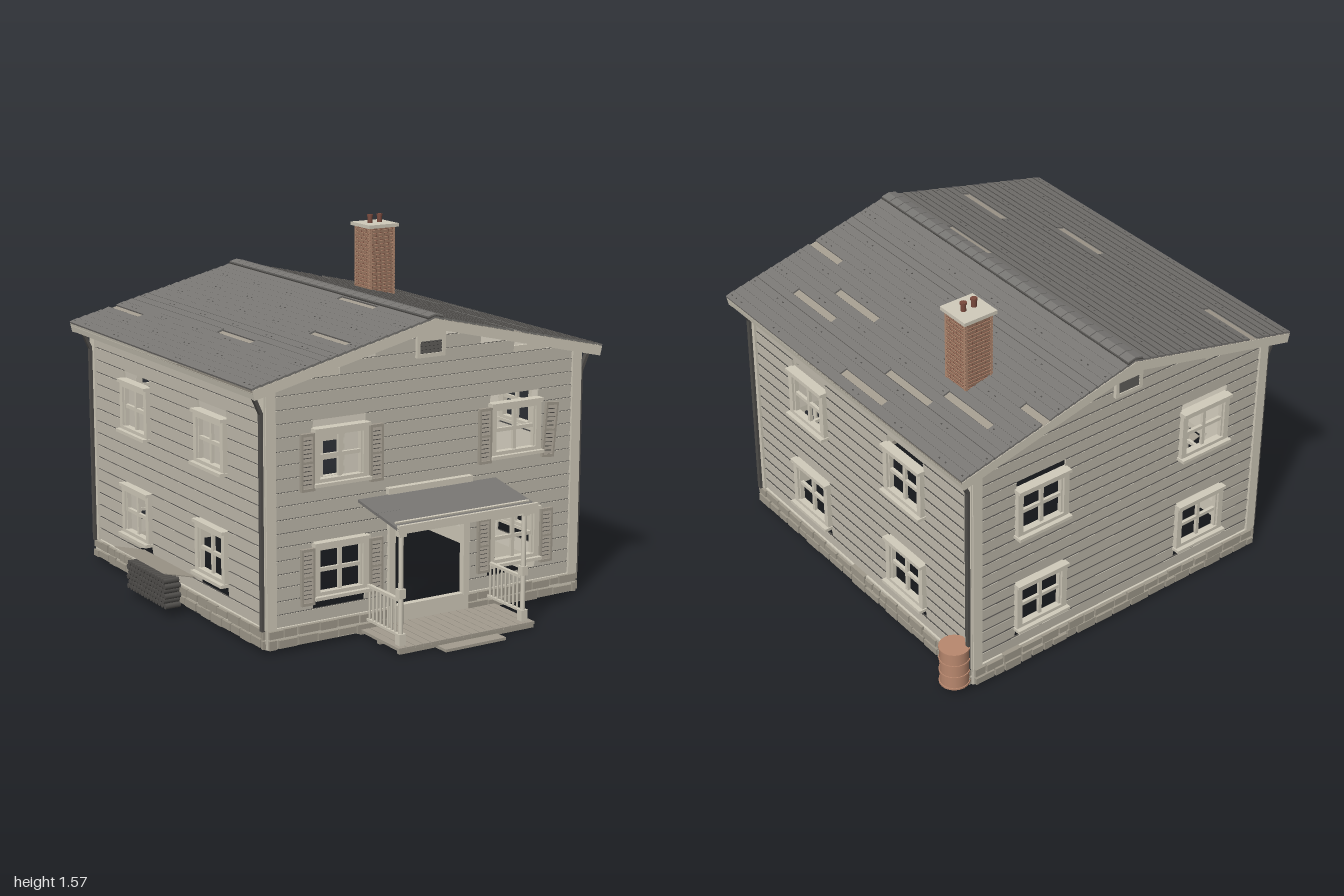
import * as THREE from 'three';
import { mergeGeometries } from 'three/addons/utils/BufferGeometryUtils.js';

const mat = (name, color) => Object.assign(new THREE.MeshStandardMaterial({ color }), { name });
const M = {
  siding: mat('siding', 0xcec8b9),
  trim: mat('trim', 0xd1cbbb),
  stone: mat('stone', 0xa09a8c),
  shingle: mat('shingle', 0x787673),
  dark: mat('darkGrey', 0x504e4b),
  floor: mat('weatheredWood', 0xa39c8f),
  brick: mat('brick', 0xb28a71),
  pot: mat('clayPot', 0x7a4a3d),
  rust: mat('rust', 0xb9886e),
};
const HW = 0.779, HD = 0.7975;            // half width and depth of the house
const Y0 = 0.097, PITCH = 0.0567;         // siding rows
let seed = 7;
const rnd = () => (seed = (seed * 16807) % 2147483647) / 2147483647;

function box(w, h, d, x = 0, y = 0, z = 0, rx = 0, rz = 0) {
  const g = new THREE.BoxGeometry(w, h, d);
  if (rx) g.rotateX(rx);
  if (rz) g.rotateZ(rz);
  return g.translate(x, y, z);
}
const cyl = (r, h, x, y, z, n = 10) => new THREE.CylinderGeometry(r, r, h, n).translate(x, y, z);
function part(parent, name, material, geos) {
  const mesh = new THREE.Mesh(mergeGeometries(geos.map(g => g.toNonIndexed())), material);
  mesh.name = name;
  parent.add(mesh);
}
function group(parent, name, x = 0, y = 0, z = 0) {
  const g = new THREE.Group();
  g.name = name;
  g.position.set(x, y, z);
  parent.add(g);
  return g;
}

// Two-by-two window with casing, head and sill
function addWindow(parent, x, y) {
  const g = group(parent, 'window', x, y, 0), t = [];
  for (const s of [-1, 1]) t.push(box(0.026, 0.22, 0.03, s * 0.117, 0, 0.005), box(0.01, 0.19, 0.02, s * 0.101, 0, 0));
  t.push(box(0.235, 0.022, 0.03, 0, 0.098, 0.005), box(0.265, 0.014, 0.045, 0, 0.114, 0.01));
  t.push(box(0.235, 0.018, 0.03, 0, -0.1, 0.005), box(0.27, 0.014, 0.055, 0, -0.113, 0.012));
  t.push(box(0.016, 0.19, 0.014), box(0.205, 0.016, 0.014));
  part(g, 'windowFrame', M.trim, t);
}

// Louvred shutter
function addShutter(parent, x, y, tilt = 0) {
  const g = group(parent, 'shutter', x, y, 0.022);
  g.rotation.z = tilt;
  const t = [box(0.062, 0.012, 0.016, 0, 0.114, 0), box(0.062, 0.012, 0.016, 0, -0.114, 0), box(0.05, 0.01, 0.016)];
  for (const s of [-1, 1]) t.push(box(0.009, 0.24, 0.016, s * 0.027, 0, 0));
  for (let i = 0; i < 12; i++) t.push(box(0.05, 0.0145, 0.004, 0, -0.1 + i * 0.0182, 0.003, -0.3));
  part(g, 'louvres', M.floor, t);
  part(g, 'shutterBacking', M.dark, [box(0.05, 0.22, 0.004, 0, 0, -0.006)]);
}

// One wall: siding rows cut around openings, stones, corner boards and windows
function addWall(parent, name, half, dist, angle, winX, gable, door) {
  const g = group(parent, name);
  g.rotation.y = angle;
  const w = group(g, name + 'Face', 0, 0, dist);
  const boards = [], joints = [], stones = [];
  for (let r = 0; r < (gable ? 20 : 18); r++) {
    const end = r === 18 ? 0.43 : r === 19 ? 0.26 : half - 0.01;
    const cuts = [];
    if ((r >= 1 && r <= 5) || (r >= 10 && r <= 14)) for (const x of [-winX, winX]) cuts.push([x - 0.125, x + 0.125]);
    if (door && r < 8) cuts.push([-0.185, 0.185]);
    cuts.sort((a, b) => a[0] - b[0]);
    let x = -end;
    for (const [a, b] of [...cuts, [end, end]]) {
      const y = Y0 + (r + 0.5) * PITCH;
      boards.push(box(a - x, PITCH + 0.003, 0.008, (a + x) / 2, y, -0.006, 0.12));
      joints.push(box(a - x, 0.0008, 0.008, (a + x) / 2, y + PITCH / 2 + 0.0018, -0.0035));
      x = b;
    }
  }
  part(w, 'sidingBoards', M.siding, boards);
  part(w, 'sidingJoints', M.dark, joints);
  // foundation
  const sections = door ? [[-half, -0.2], [0.2, half]] : [[-half, half]];
  for (let row = 0; row < 2; row++) for (const [a, b] of sections) {
    let x = a;
    while (x < b - 0.01) {
      const len = Math.min(0.045 + rnd() * 0.065, b - x), h = 0.028 + rnd() * 0.012;
      stones.push(box(len - 0.008, h, 0.022, x + len / 2, 0.036 + row * 0.043 + (rnd() - 0.5) * 0.005, 0.003 + rnd() * 0.004));
      x += len;
    }
  }
  part(w, 'foundationStones', M.stone, stones);
  part(w, 'mortar', M.trim, [box(half * 2, 0.085, 0.016, 0, 0.058, -0.004)]);
  const t = [-1, 1].map(s => box(0.045, 1.02, 0.014, s * (half - 0.02), 0.61, 0.002));
  if (gable) t.push(box(1.2, 0.035, 0.012, 0, 1.13, -0.012));
  part(w, 'cornerBoards', M.trim, t);
  for (const x of [-winX, winX]) for (const y of [0.318, 0.795]) addWindow(w, x, y);
  if (gable) {
    // attic vent
    const v = group(w, 'atticVent', 0, 1.2, 0.008);
    part(v, 'ventFrame', M.trim, [box(0.14, 0.045, 0.016, 0, 0.041, 0), box(0.14, 0.016, 0.016, 0, -0.042, 0),
      box(0.016, 0.07, 0.016, -0.062, 0, 0), box(0.016, 0.07, 0.016, 0.062, 0, 0)]);
    part(v, 'ventLouvres', M.dark, [0, 1, 2, 3].map(i => box(0.11, 0.016, 0.005, 0, -0.026 + i * 0.015, 0, -0.4)));
  }
  return w;
}

function addRoof(parent) {
  const slope = Math.atan(0.235), len = 0.886, rows = 22, p = len / rows, hz = 0.8425, L = 0.293;
  const missing = { '-1': ['16,0', '14,3', '9,5', '1,4'], 1: ['11,0', '15,1', '17,2', '20,2', '13,4', '16,4', '10,5'] };
  const openRows = { '-1': [12, 13, 14], 1: [5, 6, 18] };
  for (const s of [-1, 1]) {
    const g = group(parent, 'roofSlope', 0, 1.315, 0);
    g.rotation.z = -s * slope;
    const tiles = [], slots = [], caps = [];
    for (let r = 0; r < rows; r++) for (let k = 0; k < 7; k++) {
      const z0 = Math.max(-hz, -hz + (k - (r % 2) / 2) * L), z1 = Math.min(hz, -hz + (k + 1 - (r % 2) / 2) * L);
      if (z1 - z0 < 0.01 || missing[s].includes(r + ',' + k)) continue;
      const x = s * (r + 0.5) * p;
      tiles.push(box(p + 0.002, 0.008, z1 - z0, x, 0.005, (z0 + z1) / 2, 0, -s * 0.09));
      // dark upper edge of each shingle, wider where a course has opened up
      const open = openRows[s].includes(r);
      slots.push(box(open ? 0.005 : 0.0015, 0.004, z1 - z0, x - s * (p / 2 + 0.001), 0.0085, (z0 + z1) / 2));
      if (r % 3 === 0) slots.push(box(0.005, 0.002, 0.008, x, 0.0092, z0 + 0.02), box(0.005, 0.002, 0.008, x, 0.0092, z1 - 0.02));
    }
    part(g, 'shingles', M.shingle, tiles);
    part(g, 'shingleEdges', M.dark, slots);
    part(g, 'roofDeck', M.floor, [box(len, 0.016, hz * 2, s * len / 2, -0.008, 0)]);
    part(g, 'rakeAndFascia', M.trim, [
      ...[-1, 1].map(e => box(len, 0.042, 0.02, s * len / 2, -0.022, e * (hz - 0.008))),
      box(0.016, 0.04, hz * 2, s * (len - 0.008), -0.02, 0)]);
    for (let i = 0; i < 28; i++) caps.push(box(0.037, 0.008, 0.056, s * 0.0145, 0.016, -hz + (i + 0.5) * hz / 14));
    part(g, 'ridgeCaps', M.shingle, caps);
    part(g, 'ridgeUnderlay', M.dark, [box(0.038, 0.006, hz * 2, s * 0.017, 0.011, 0)]);
    // gutter and downspouts
    part(parent, 'gutter', M.trim, [cyl(0.018, hz * 2, 0, 0, 0, 8).rotateX(Math.PI / 2).translate(s * 0.842, 1.1, 0)]);
    part(parent, 'downspouts', M.dark, [-1, 1].flatMap(e => [
      box(0.014, 0.1, 0.02, s * 0.814, 1.045, e * 0.784, 0, -s * 0.42), box(0.014, 0.91, 0.02, s * 0.793, 0.55, e * 0.784)]));
  }
}

function addChimney(parent) {
  const g = group(parent, 'chimney', 0.485, 0, -0.39), bricks = [], joints = [], n = 22, h = 0.0165;
  for (let r = 0; r < n; r++) {
    const y = 1.155 + (r + 0.5) * h;
    for (let f = 0; f < 4; f++) {
      bricks.push(box(0.138, h, 0.01, 0, y, 0.062, 0.2).rotateY(f * Math.PI / 2));
      for (let i = 0; i < 3; i++)
        joints.push(box(0.0015, h * 0.9, 0.0015, (i - 1 + (r % 2) / 2 - 0.25) * 0.045, y, 0.0668, 0.2).rotateY(f * Math.PI / 2));
    }
    joints.push(box(0.135, 0.001, 0.135, 0, y + h / 2 + 0.001, 0));
  }
  part(g, 'bricks', M.brick, bricks);
  part(g, 'brickJoints', M.pot, joints);
  part(g, 'chimneyCap', M.trim, [box(0.162, 0.016, 0.162, 0, 1.518, 0)]);
  part(g, 'chimneyPots', M.pot, [-1, 1].flatMap(s => [cyl(0.012, 0.04, s * 0.026, 1.545, 0), cyl(0.015, 0.008, s * 0.026, 1.56, 0)]));
}

function addPorch(parent) {
  const g = group(parent, 'porch'), planks = [], t = [];
  for (let i = 0; i < 17; i++) planks.push(box(0.037, 0.012, 0.32, -0.32 + i * 0.04, 0.026, 0.94));
  part(g, 'floorPlanks', M.floor, planks);
  part(g, 'floorFrame', M.stone, [0.795, 0.94, 1.09].map(z => box(0.67, 0.016, 0.02, 0, 0.014, z)));
  part(g, 'step', M.floor, [box(0.3, 0.012, 0.09, 0, 0.006, 1.115)]);
  for (const s of [-1, 1]) {
    const x = s * 0.305;
    t.push(cyl(0.011, 0.49, x, 0.275, 1.06), box(0.032, 0.05, 0.032, x, 0.055, 1.06),
      box(0.03, 0.04, 0.03, x, 0.25, 1.06), box(0.034, 0.03, 0.034, x, 0.505, 1.06));
    t.push(box(0.016, 0.012, 0.25, x, 0.22, 0.925), box(0.014, 0.01, 0.25, x, 0.072, 0.925));
    for (let i = 0; i < 8; i++) t.push(cyl(0.005, 0.145, x, 0.146, 0.825 + i * 0.028, 6));
  }
  t.push(box(0.69, 0.035, 0.014, 0, 0.53, 1.098), box(0.65, 0.02, 0.02, 0, 0.525, 1.06));
  part(g, 'postsAndRails', M.trim, t);
  part(g, 'porchRoof', M.shingle, [box(0.69, 0.012, 0.155, 0, 0.57, 0.865, 0.175), box(0.69, 0.012, 0.165, 0, 0.544, 1.02, 0.175)]);
  part(g, 'porchRoofSeam', M.dark, [box(0.69, 0.003, 0.005, 0, 0.562, 0.942)]);
  part(g, 'porchGutter', M.trim, [box(0.66, 0.01, 0.01, 0, 0.546, 1.055, 0.175)]);
  // doorway surround
  part(g, 'doorFrame', M.trim, [...[-1, 1].map(s => box(0.03, 0.47, 0.03, s * 0.187, 0.33, HD + 0.003)),
    box(0.4, 0.04, 0.03, 0, 0.54, HD + 0.003), box(0.42, 0.026, 0.03, 0, 0.607, HD + 0.01), box(0.4, 0.07, 0.03, 0, 0.07, HD)]);
}

export function createModel() {
  const model = new THREE.Group();
  model.name = 'house';
  const house = group(model, 'building', 0.02, 0, -0.16);
  const front = addWall(house, 'frontWall', HW, HD, 0, 0.435, true, true);
  addWall(house, 'backWall', HW, HD, Math.PI, 0.435, true, false);
  addWall(house, 'leftWall', HD, HW, Math.PI / 2, 0.348, false, false);
  addWall(house, 'rightWall', HD, HW, -Math.PI / 2, 0.348, false, false);
  for (const y of [0.302, 0.782]) for (const x of [-0.435, 0.435]) for (const s of [-1, 1]) {
    const loose = y > 0.5 && x > 0 && s > 0;
    addShutter(front, x + s * (loose ? 0.173 : 0.164), loose ? 0.77 : y, loose ? -0.09 : 0);
  }
  addRoof(house);
  addChimney(house);
  addPorch(house);

  // rusty barrel by the back corner
  const barrel = group(model, 'barrel', 0.856, 0, -0.907);
  part(barrel, 'drum', M.rust, [cyl(0.062, 0.185, 0, 0.128, 0, 20)]);
  part(barrel, 'drumRings', M.rust, [0.039, 0.098, 0.158, 0.217].map(y => cyl(0.066, 0.008, 0, y, 0, 20)));

  // stacked firewood under a sloping sheet
  const pile = group(model, 'woodpile', -0.858, 0, -0.18), logs = [];
  for (let r = 0; r < 6; r++) for (let i = 0; i < 14 - (r % 2); i++)
    logs.push(new THREE.CylinderGeometry(0.0125, 0.0125, 0.07 + rnd() * 0.006, 6).rotateZ(Math.PI / 2)
      .translate(0, 0.048 + r * 0.0215, (i - 6.5 + (r % 2) / 2) * 0.027));
  part(pile, 'logs', M.dark, logs);
  part(pile, 'coverSheet', M.floor, [box(0.15, 0.004, 0.48, 0.006, 0.196, 0, 0, -0.26)]);
  return model;
}
